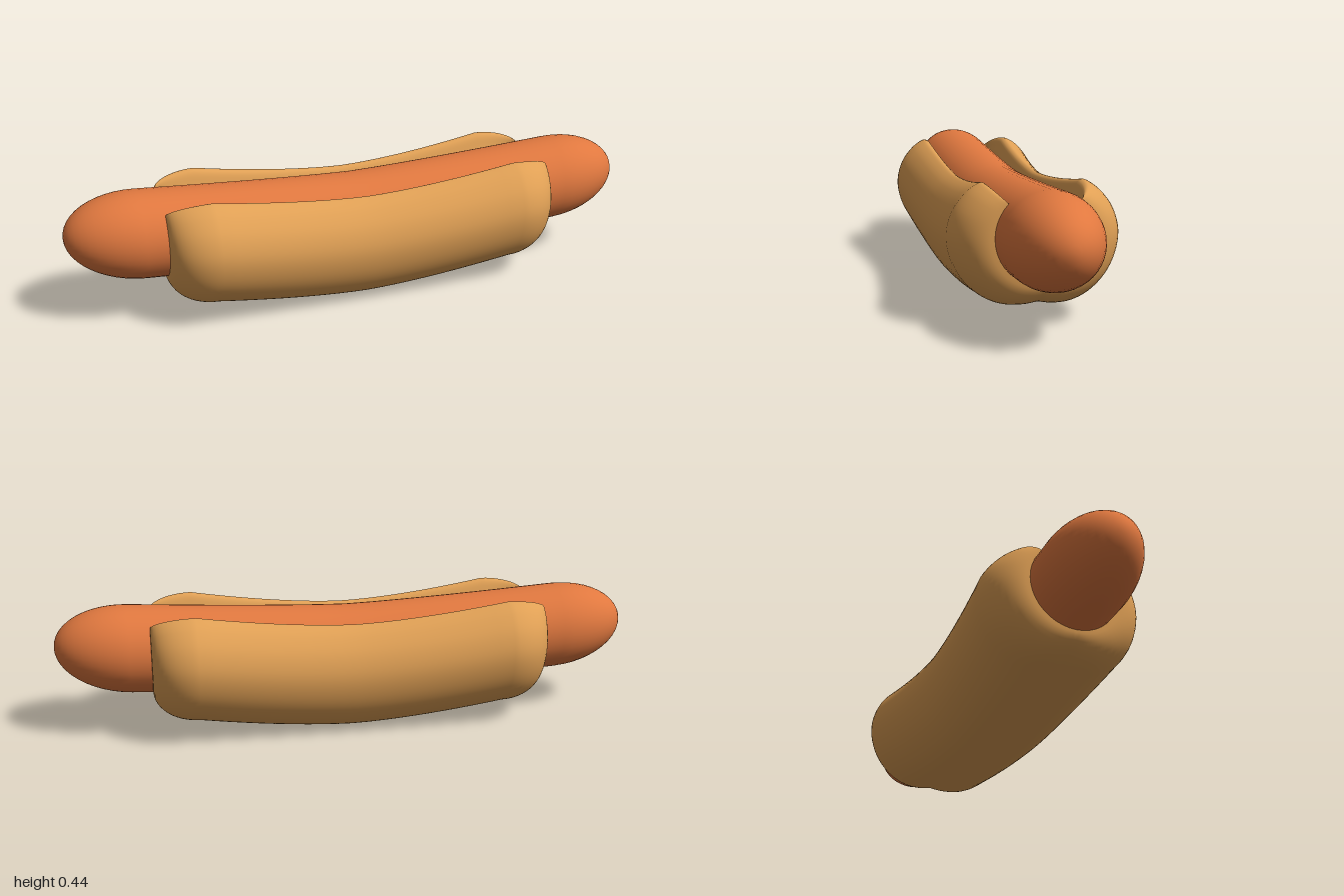
import * as THREE from 'three';
import { mergeVertices } from 'three/addons/utils/BufferGeometryUtils.js';

const sausageColor = 0xe0783f;
const bunColor = 0xe0a055;

// Height of the sausage centreline, sagging in the middle
const centreY = (x) => 0.258 + 0.052 * Math.pow(Math.abs(x), 1.35);

function makeSausage() {
  const r = 0.15, cap = 0.25, profile = [];
  for (let i = 0; i <= 12; i++) {
    const a = (i / 12) * Math.PI / 2;
    profile.push(new THREE.Vector2(r * Math.sin(a), -(1 - cap) - cap * Math.cos(a)));
  }
  for (let i = 1; i < 16; i++) profile.push(new THREE.Vector2(r * 0.985 + r * 0.015 * Math.abs(i / 8 - 1), (i / 8 - 1) * (1 - cap)));
  for (let i = 12; i >= 0; i--) profile.push(new THREE.Vector2(profile[i].x, -profile[i].y));

  let geo = new THREE.LatheGeometry(profile, 40);
  geo.rotateZ(-Math.PI / 2);
  // Bend along the centreline
  const p = geo.attributes.position;
  for (let i = 0; i < p.count; i++) p.setY(i, p.getY(i) + centreY(p.getX(i)));
  geo.deleteAttribute('uv');
  geo.deleteAttribute('normal');
  geo = mergeVertices(geo, 1e-5);
  geo.computeVertexNormals();
  const mesh = new THREE.Mesh(geo, new THREE.MeshStandardMaterial({ color: sausageColor }));
  mesh.name = 'sausage';
  return mesh;
}

// Bun half section (z, y): bottom seam, outer side, upper lip, inner wall
const section = new THREE.CatmullRomCurve3([
  [0, 0.064], [0.05, 0.056], [0.11, 0.06], [0.17, 0.087], [0.225, 0.14], [0.258, 0.205],
  [0.269, 0.28], [0.25, 0.35], [0.21, 0.404], [0.178, 0.428], [0.159, 0.435], [0.144, 0.427],
  [0.13, 0.395], [0.122, 0.365], [0.132, 0.32], [0.136, 0.28], [0.12, 0.22], [0.07, 0.172], [0, 0.158],
].map(([z, y]) => new THREE.Vector3(0, y, z)), false, 'centripetal').getPoints(72);

function makeBunHalf(side) {
  const bodyEnd = 0.53, capLength = 0.15, capSteps = 12, bodySteps = 20;
  // Stations along x: rounded cap, body, rounded cap
  const stations = [];
  for (let i = -capSteps; i <= bodySteps + capSteps; i++) {
    const over = i < 0 ? -i : Math.max(0, i - bodySteps);
    const a = (over / capSteps) * Math.PI / 2;
    const t = THREE.MathUtils.clamp((i / bodySteps) * 2 - 1, -1, 1);
    stations.push({ x: t * bodyEnd + Math.sign(t) * capLength * Math.sin(a), full: Math.cos(a) });
  }
  const pos = [], index = [], n = section.length;
  stations.forEach(({ x, full }, i) => {
    const bend = Math.pow(Math.min(1, Math.abs(x) / bodyEnd), 1.6);
    const cy = centreY(x);
    section.forEach((q, j) => {
      const z = q.z * (0.92 + 0.08 * bend);
      const y = q.y - 0.055 * (1 - bend);
      // Caps close down onto the sausage surface
      const k = 0.149 / Math.hypot(z, y - cy);
      pos.push(x,
        THREE.MathUtils.lerp(cy + (y - cy) * k, y, full),
        side * THREE.MathUtils.lerp(z * k, z, full));
      if (i < stations.length - 1 && j < n - 1) {
        const a = i * n + j, b = a + n, c = a + 1, d = b + 1;
        if (side > 0) index.push(a, b, c, b, d, c);
        else index.push(a, c, b, b, c, d);
      }
    });
  });
  const geo = new THREE.BufferGeometry();
  geo.setAttribute('position', new THREE.Float32BufferAttribute(pos, 3));
  geo.setIndex(index);
  geo.computeVertexNormals();
  const mesh = new THREE.Mesh(geo, new THREE.MeshStandardMaterial({ color: bunColor, side: THREE.DoubleSide }));
  mesh.name = side > 0 ? 'bunFront' : 'bunBack';
  return mesh;
}

export function createModel() {
  const group = new THREE.Group();
  group.name = 'hotDog';
  group.add(makeSausage(), makeBunHalf(1), makeBunHalf(-1));
  return group;
}
